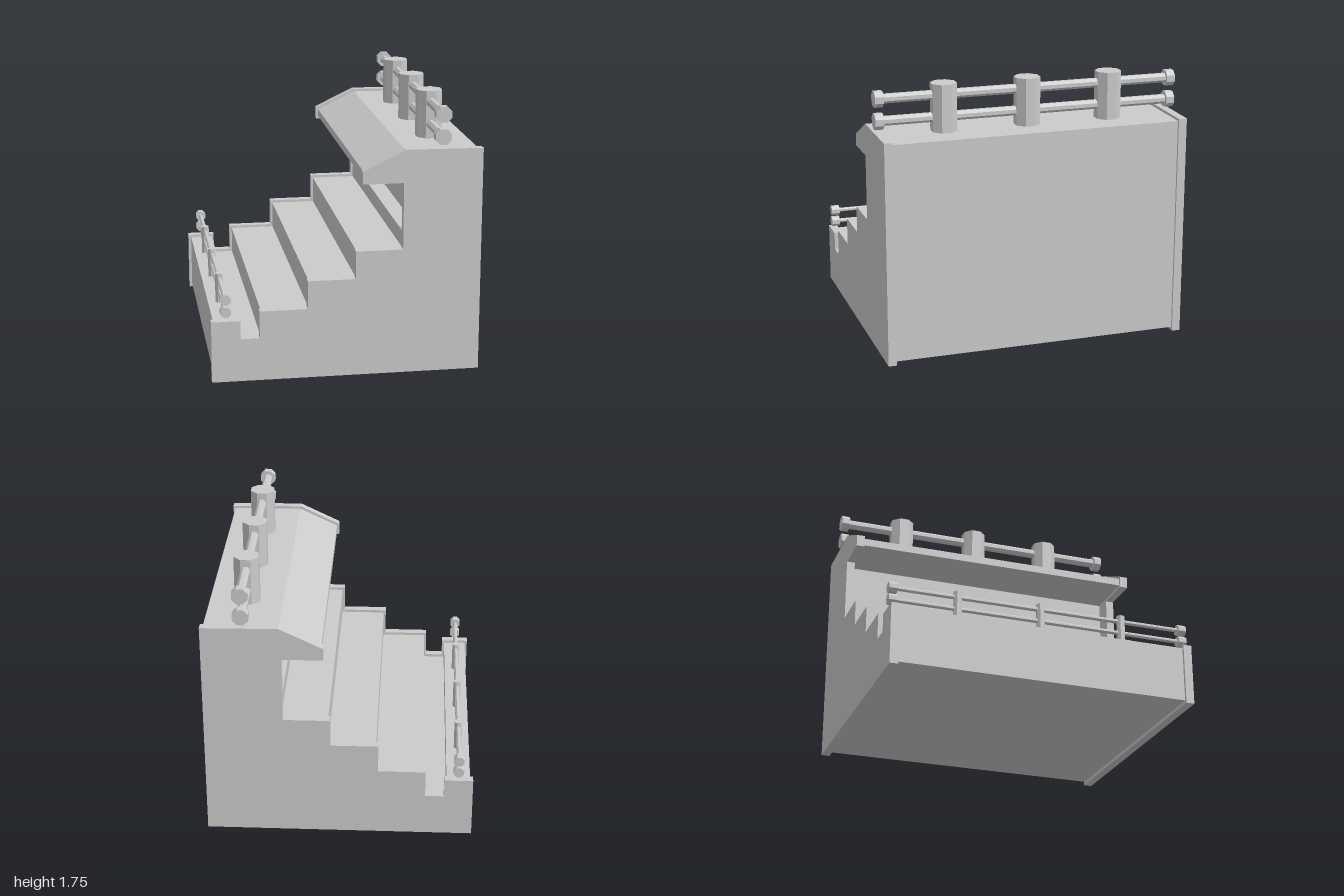
import * as THREE from 'three';

const material = new THREE.MeshStandardMaterial({ color: 0xcccccc, flatShading: true });

// Stepped outline in x/y, extruded along z
function slab(name, points, z0, z1) {
  const shape = new THREE.Shape(points.map(([x, y]) => new THREE.Vector2(x, y)));
  const geometry = new THREE.ExtrudeGeometry(shape, { depth: z1 - z0, bevelEnabled: false });
  geometry.translate(0, 0, z0);
  const mesh = new THREE.Mesh(geometry, material);
  mesh.name = name;
  return mesh;
}

// Eight-sided rod with flats facing the axes; r is half the width across flats
function rod(name, r, length) {
  const geometry = new THREE.CylinderGeometry(r / Math.cos(Math.PI / 8), r / Math.cos(Math.PI / 8), length, 8);
  geometry.rotateY(Math.PI / 8);
  const mesh = new THREE.Mesh(geometry, material);
  mesh.name = name;
  return mesh;
}

// Three posts carrying two long rails with end caps
function railing(name, { x, base, top, postR, railR, capR, heights }) {
  const group = new THREE.Group();
  group.name = name;
  for (const z of [-0.55, 0, 0.55]) {
    const post = rod('post', postR, top - base);
    post.position.set(x, (top + base) / 2, z);
    group.add(post);
  }
  for (const y of heights) {
    const rail = rod('rail', railR, 1.92);
    rail.rotation.x = Math.PI / 2;
    rail.position.set(x, y, 0);
    group.add(rail);
    for (const side of [-1, 1]) {
      const cap = rod('railCap', capR, 0.055);
      cap.rotation.x = Math.PI / 2;
      cap.position.set(x, y, side * 0.9725);
      group.add(cap);
    }
  }
  return group;
}

export function createModel() {
  const model = new THREE.Group();
  model.name = 'steppedStand';

  // End panels
  const panelOutline = [
    [-0.86, 0], [0.857, 0], [0.857, 1.457], [0.37, 1.462], [0.095, 1.33], [0.095, 1.25],
    [0.355, 1.25], [0.355, 0.82], [0.055, 0.82], [0.055, 0.64], [-0.25, 0.64], [-0.25, 0.457],
    [-0.555, 0.457], [-0.555, 0.28], [-0.675, 0.28], [-0.675, 0.4], [-0.86, 0.4],
  ];
  model.add(slab('frontEndPanel', panelOutline, 0.945, 1));
  model.add(slab('backEndPanel', panelOutline, -1, -0.945));

  // Steps, recessed wall and canopy, set slightly inside the panel outline
  const bodyOutline = [
    [-0.842, 0.022], [0.842, 0.022], [0.842, 1.44], [0.374, 1.444], [0.11, 1.318], [0.11, 1.267],
    [0.37, 1.267], [0.48, 1.267], [0.48, 0.91], [0.37, 0.91], [0.37, 0.802], [0.07, 0.802],
    [0.07, 0.622], [-0.235, 0.622], [-0.235, 0.44], [-0.54, 0.44], [-0.54, 0.262],
    [-0.69, 0.262], [-0.69, 0.383], [-0.842, 0.383],
  ];
  model.add(slab('steppedBody', bodyOutline, -0.945, 0.945));

  // Heavy railing on the roof, slim railing along the low wall
  model.add(railing('roofRailing', {
    x: 0.602, base: 1.43, top: 1.75, postR: 0.079, railR: 0.029, capR: 0.05, heights: [1.533, 1.675],
  }));
  model.add(railing('lowRailing', {
    x: -0.767, base: 0.375, top: 0.577, postR: 0.025, railR: 0.013, capR: 0.033, heights: [0.46, 0.54],
  }));
  return model;
}
